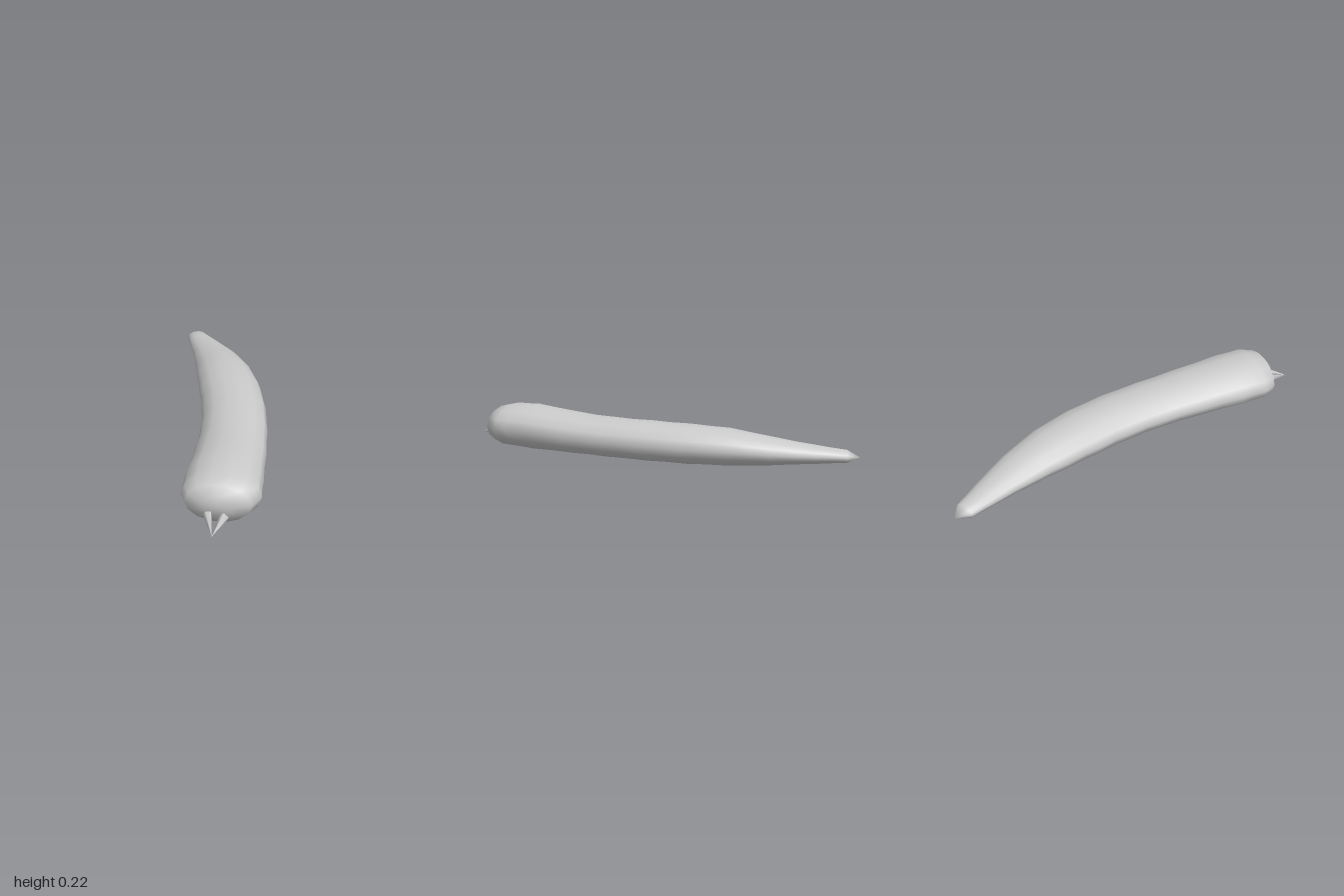
import * as THREE from 'three';

const material = new THREE.MeshStandardMaterial({ color: 0xcccccc });
const SIDES = 14;
const RINGS = 19;

// Body stations from head to tail: [centre x, centre z, half width, bottom y, top y]
const stations = [
  [-0.05, 0.78, 0.177, 0.005, 0.219],
  [-0.028, 0.65, 0.174, 0.002, 0.223],
  [0.02, 0.4, 0.164, 0.008, 0.206],
  [0.05, 0.2, 0.158, 0.01, 0.2],
  [0.065, 0.0, 0.156, 0.011, 0.2],
  [0.063, -0.2, 0.154, 0.011, 0.197],
  [0.045, -0.4, 0.141, 0.014, 0.187],
  [0.016, -0.6, 0.113, 0.025, 0.155],
  [-0.032, -0.8, 0.076, 0.036, 0.122],
  [-0.07, -0.94, 0.051, 0.043, 0.102],
];

function createBody() {
  // Smooth curves through the stations: spine and ring sizes
  const spine = new THREE.CatmullRomCurve3(stations.map(([x, z, , lo, hi]) => new THREE.Vector3(x, (lo + hi) / 2, z)));
  const sizes = new THREE.CatmullRomCurve3(stations.map(([, , w, lo, hi]) => new THREE.Vector3(w, (hi - lo) / 2, 0)));

  // Rounded blunt head, rippled trunk, small pointed tail
  const rings = [
    { c: new THREE.Vector3(-0.075, 0.113, 0.874), w: 0.065, h: 0.05, slope: -0.22 },
    { c: new THREE.Vector3(-0.069, 0.112, 0.845), w: 0.145, h: 0.092, slope: -0.23 },
  ];
  for (let i = 0; i < RINGS; i++) {
    const t = i / (RINGS - 1);
    const size = sizes.getPoint(t);
    const tangent = spine.getTangent(t);
    const ripple = 1 + (i > 0 && i < RINGS - 1 ? (i % 2 ? -0.01 : 0.01) : 0);
    rings.push({
      c: spine.getPoint(t), w: size.x * ripple, h: size.y * ripple,
      slope: tangent.x / tangent.z,
    });
  }

  const positions = [];
  const index = [];
  for (const { c, w, h, slope } of rings) {
    const across = new THREE.Vector3(1, 0, -slope).normalize();
    for (let j = 0; j < SIDES; j++) {
      const a = (j / SIDES) * Math.PI * 2;
      const side = Math.cos(a) * w;
      positions.push(c.x + across.x * side, c.y + Math.sin(a) * h, c.z + across.z * side);
    }
  }
  for (let i = 0; i < rings.length - 1; i++) {
    for (let j = 0; j < SIDES; j++) {
      const k = (j + 1) % SIDES;
      const a = i * SIDES + j, b = i * SIDES + k;
      index.push(a, a + SIDES, b, b, a + SIDES, b + SIDES);
    }
  }

  // Close both ends with a fan
  const head = positions.length / 3;
  positions.push(-0.077, 0.113, 0.88, -0.083, 0.069, -1);
  const last = (rings.length - 1) * SIDES;
  for (let j = 0; j < SIDES; j++) {
    const k = (j + 1) % SIDES;
    index.push(head, j, k, head + 1, last + k, last + j);
  }

  const geometry = new THREE.BufferGeometry();
  geometry.setAttribute('position', new THREE.Float32BufferAttribute(positions, 3));
  geometry.setIndex(index);
  geometry.computeVertexNormals();
  const body = new THREE.Mesh(geometry, material);
  body.name = 'body';
  return body;
}

// A slim five-sided cone from its base to its tip
function createMouthHook(name, base, tip, radius) {
  const axis = tip.clone().sub(base);
  const hook = new THREE.Mesh(new THREE.ConeGeometry(radius, axis.length(), 5), material);
  hook.position.copy(base).addScaledVector(axis, 0.5);
  hook.quaternion.setFromUnitVectors(new THREE.Vector3(0, 1, 0), axis.normalize());
  hook.name = name;
  return hook;
}

export function createModel() {
  const model = new THREE.Group();
  model.name = 'larva';
  const tip = new THREE.Vector3(-0.106, 0.045, 0.995);
  model.add(
    createBody(),
    createMouthHook('rightMouthHook', new THREE.Vector3(-0.114, 0.08, 0.873), tip, 0.02),
    createMouthHook('leftMouthHook', new THREE.Vector3(-0.045, 0.075, 0.893), tip, 0.022),
  );
  return model;
}
